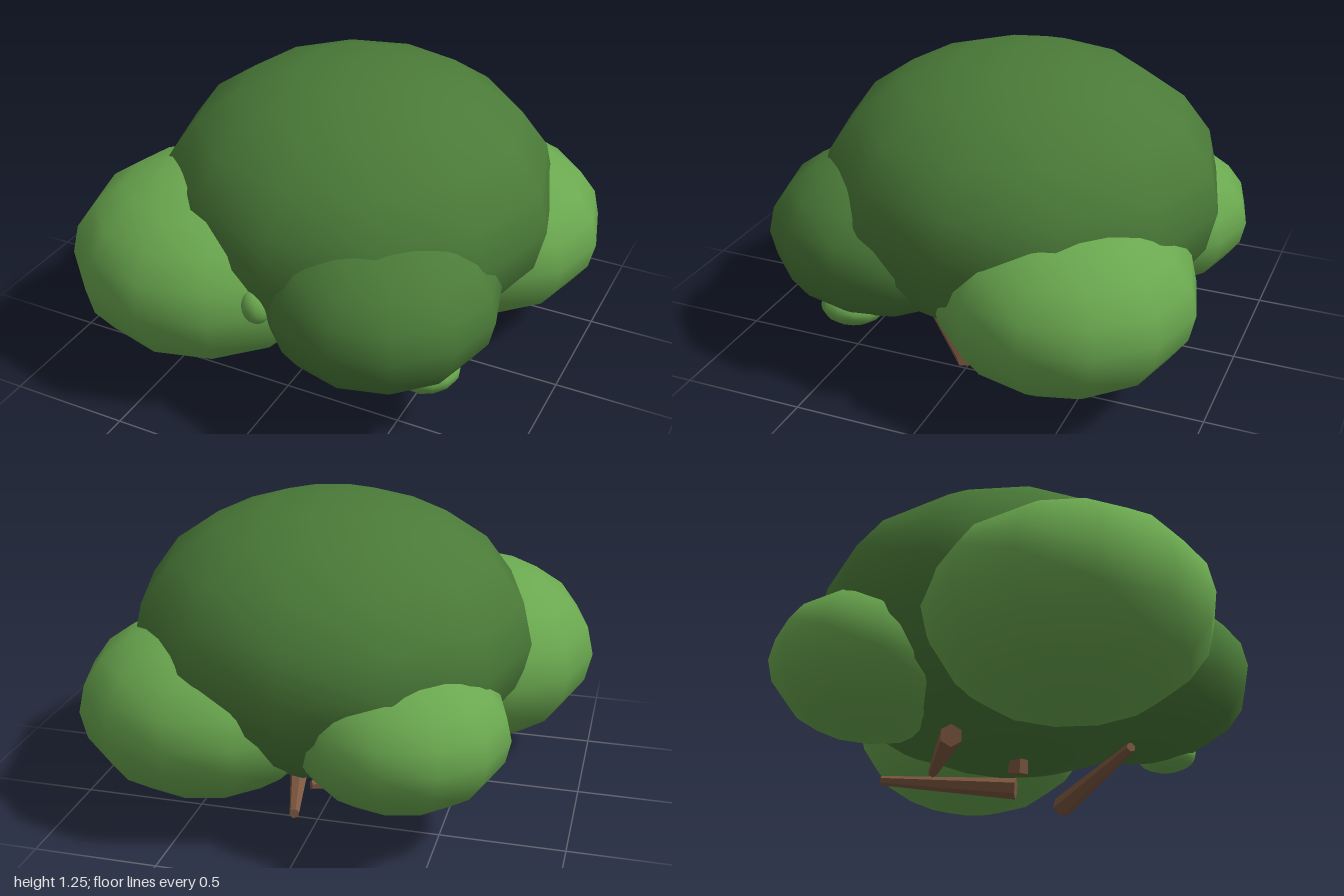
import * as THREE from 'three';

const mat = (color) => new THREE.MeshStandardMaterial({ color });

export function createModel() {
  const group = new THREE.Group();
  const darkLeaf = mat(0x4a7a38);
  const lightLeaf = mat(0x6aa84f);
  const bark = mat(0x7d5840);
  bark.flatShading = true;

  // Foliage: squashed low-poly spheres with smooth normals
  const sphere = new THREE.SphereGeometry(1, 12, 10);
  const clump = (name, material, center, radii) => {
    const mesh = new THREE.Mesh(sphere, material);
    mesh.name = name;
    mesh.position.set(...center);
    mesh.scale.set(...radii);
    group.add(mesh);
    return mesh;
  };
  clump('mainFoliage', darkLeaf, [0.05, 0.675, -0.07], [0.83, 0.573, 0.83]);
  clump('frontRightFoliage', lightLeaf, [-0.43, 0.485, 0.36], [0.57, 0.4, 0.57]);
  clump('frontLeftFoliage', darkLeaf, [0.37, 0.53, 0.4], [0.48, 0.345, 0.48]);
  clump('backLeftFoliage', lightLeaf, [0.48, 0.45, -0.42], [0.52, 0.37, 0.52]);
  clump('backRightFoliage', lightLeaf, [-0.34, 0.45, -0.51], [0.43, 0.3, 0.43]);

  // Small leaf tufts poking out of the clumps
  clump('frontTuft', lightLeaf, [-0.02, 0.53, 0.7], [0.06, 0.075, 0.065]).rotation.z = 0.3;
  clump('sideTuft', lightLeaf, [0.605, 0.26, 0.45], [0.13, 0.075, 0.13]).rotation.z = 0.2;

  // Branches: tapered sticks from a thick base to a thin tip
  const branch = (name, base, tip, rBase = 0.045, rTip = 0.02) => {
    const a = new THREE.Vector3(...base);
    const b = new THREE.Vector3(...tip);
    const dir = b.clone().sub(a);
    const mesh = new THREE.Mesh(new THREE.CylinderGeometry(rTip, rBase, dir.length(), 6), bark);
    mesh.name = name;
    mesh.position.copy(a).add(b).multiplyScalar(0.5);
    mesh.quaternion.setFromUnitVectors(new THREE.Vector3(0, 1, 0), dir.normalize());
    group.add(mesh);
  };
  branch('leftBranch', [0.49, 0.045, 0.0], [0.04, 0.105, 0.45]);
  branch('backBranch', [0.19, 0.045, -0.1], [0.05, 0.105, -0.66]);
  branch('rightBranch', [-0.48, 0.045, -0.1], [0.05, 0.11, -0.42]);
  branch('centerBranch', [0.06, 0.06, -0.04], [-0.02, 0.5, 0.02]);

  return group;
}
